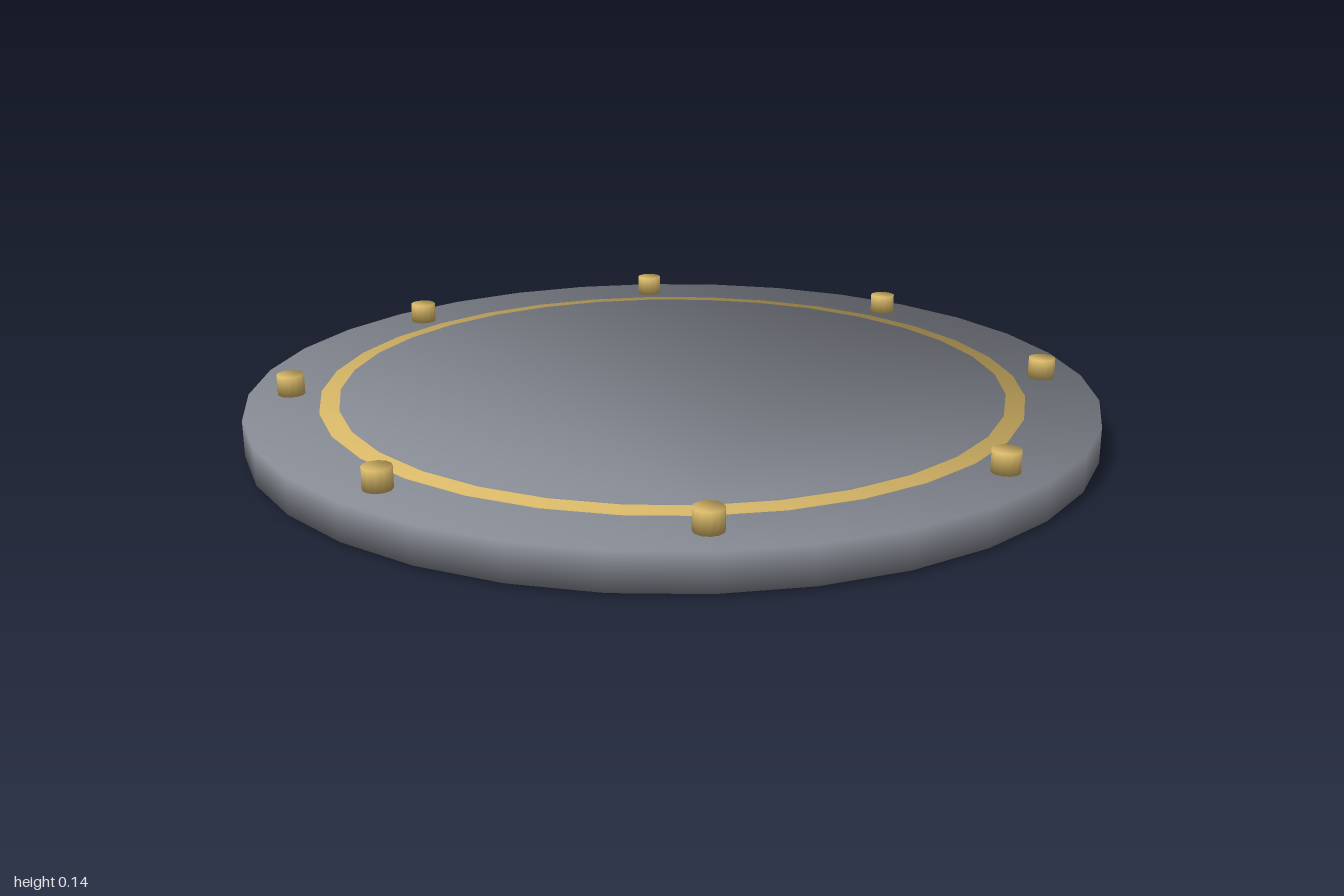
import * as THREE from 'three';

// Closed disc whose caps and wall share softly averaged rim normals
function softDisc(radius, y0, y1, sides) {
  const pos = [], nor = [], idx = [];
  const k = Math.SQRT1_2;
  for (const [y, ny] of [[y0, -k], [y1, k]]) {
    for (let i = 0; i < sides; i++) {
      const a = (i / sides) * Math.PI * 2;
      const s = Math.sin(a), c = Math.cos(a);
      pos.push(s * radius, y, c * radius);
      nor.push(s * k, ny, c * k);
    }
  }
  for (let i = 0; i < sides; i++) {
    const j = (i + 1) % sides;
    idx.push(i, j, sides + j, i, sides + j, sides + i); // wall
    if (i > 0 && i < sides - 1) {
      idx.push(sides, sides + i, sides + i + 1); // top cap
      idx.push(0, i + 1, i); // bottom cap
    }
  }
  const g = new THREE.BufferGeometry();
  g.setAttribute('position', new THREE.Float32BufferAttribute(pos, 3));
  g.setAttribute('normal', new THREE.Float32BufferAttribute(nor, 3));
  g.setIndex(idx);
  return g;
}

export function createModel() {
  const model = new THREE.Group();
  model.name = 'studdedDisc';

  const steel = new THREE.MeshStandardMaterial({ color: 0x858992 });
  steel.name = 'steel grey';
  const gold = new THREE.MeshStandardMaterial({ color: 0xd6b667 });
  gold.name = 'gold';

  const add = (name, geometry, material) => {
    const mesh = new THREE.Mesh(geometry, material);
    mesh.name = name;
    model.add(mesh);
    return mesh;
  };

  // Stepped plate: rim, gold band and centre, each slightly thicker
  add('rimPlate', softDisc(1, 0.008, 0.092, 32), steel);
  add('goldBand', softDisc(0.83, 0.004, 0.096, 32), gold);
  add('centrePlate', softDisc(0.785, 0, 0.1, 32), steel);

  // Eight studs around the top of the rim
  const studGeometry = softDisc(0.032, 0.09, 0.14, 12);
  for (let i = 0; i < 8; i++) {
    const a = (i / 8) * Math.PI * 2;
    const stud = add('stud' + (i + 1), studGeometry, gold);
    stud.position.set(Math.sin(a) * 0.9, 0, Math.cos(a) * 0.9);
  }
  return model;
}
